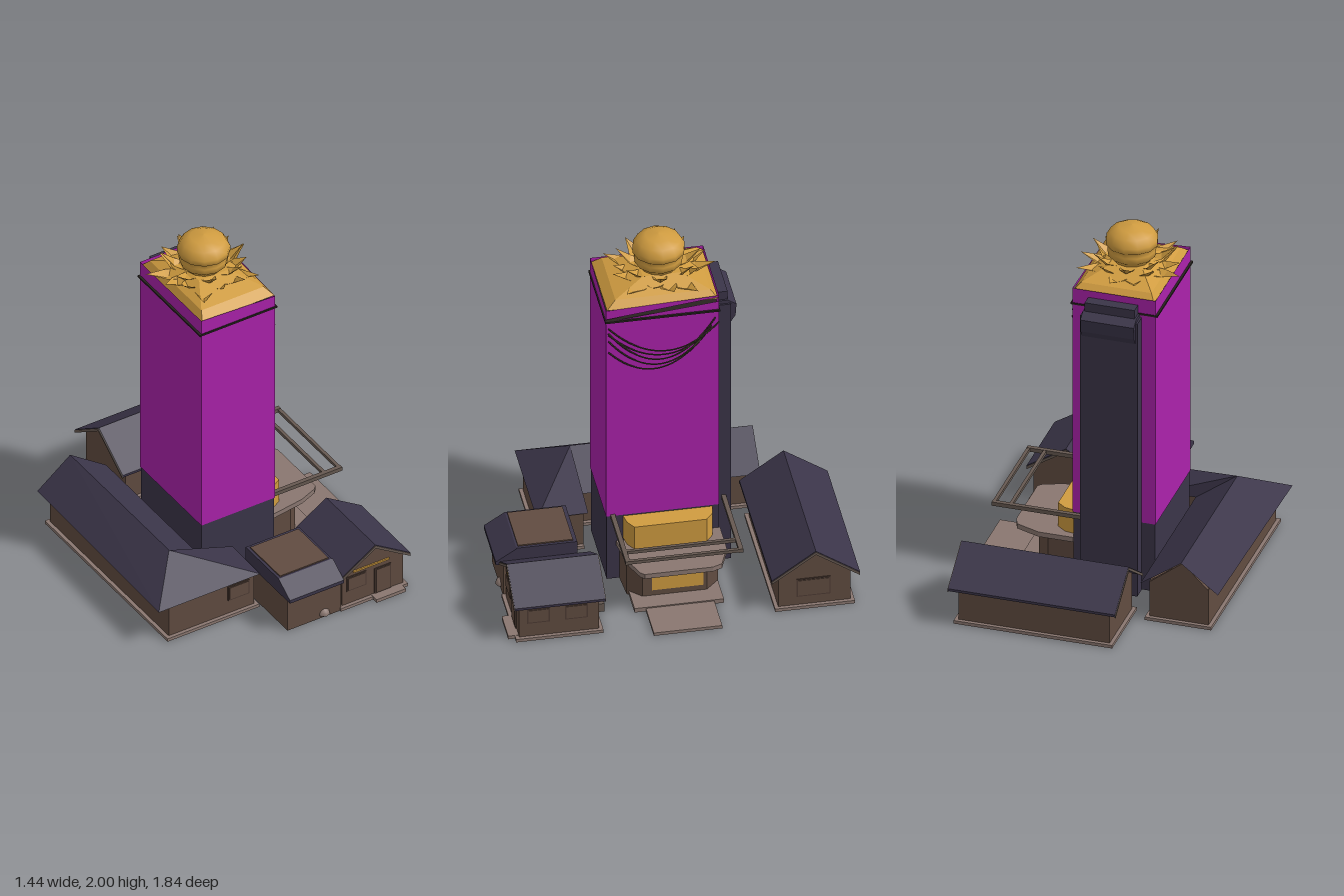
import * as THREE from 'three';

const mat = (name, color, double) => {
  const m = new THREE.MeshStandardMaterial({ color });
  m.name = name;
  if (double) m.side = THREE.DoubleSide;
  return m;
};

export function createModel() {
  const root = new THREE.Group();
  root.name = 'towerCompound';
  const M = {
    magenta: mat('magenta', 0xac22ac, true),
    navy: mat('navy roof', 0x3b3549, true),
    brown: mat('brown wall', 0x614c41),
    pane: mat('dark brown trim', 0x4c3b33),
    gold: mat('gold', 0xd09c40, true),
    taupe: mat('taupe stone', 0x8a7770),
    beam: mat('grey brown beam', 0x665951),
    dark: mat('near black', 0x28231f),
    vine: mat('olive garland', 0x3a3a26),
  };
  const add = (name, geo, m, parent = root) => {
    const mesh = new THREE.Mesh(geo, m);
    mesh.name = name;
    parent.add(mesh);
    return mesh;
  };
  // Box from its minimum and maximum corners
  const box = (name, m, x0, x1, y0, y1, z0, z1, parent) => {
    const b = add(name, new THREE.BoxGeometry(x1 - x0, y1 - y0, z1 - z0), m, parent);
    b.position.set((x0 + x1) / 2, (y0 + y1) / 2, (z0 + z1) / 2);
    return b;
  };
  // Flat-shaded polygons, each fanned from its first corner
  const faces = (polys) => {
    const p = [];
    for (const f of polys)
      for (let i = 1; i < f.length - 1; i++) p.push(...f[0], ...f[i], ...f[i + 1]);
    const g = new THREE.BufferGeometry();
    g.setAttribute('position', new THREE.Float32BufferAttribute(p, 3));
    g.computeVertexNormals();
    return g;
  };
  const extrude = (pts, depth) => new THREE.ExtrudeGeometry(
    new THREE.Shape(pts.map(([x, y]) => new THREE.Vector2(x, y))), { depth, bevelEnabled: false });
  // Plan outline given as x, z pairs, extruded upwards from y0 to y1
  const plan = (name, m, pts, y0, y1) => {
    const g = extrude(pts.map(([x, z]) => [x, -z]), y1 - y0);
    g.rotateX(-Math.PI / 2);
    add(name, g, m).position.y = y0;
  };

  // Tower: base, shaft, ledge and broken parapet
  const [X0, X1, Z0, Z1] = [-0.265, 0.185, -0.275, 0.32];
  box('towerBase', M.navy, X0 + 0.004, X1 - 0.004, 0, 0.4, Z0 + 0.004, Z1 - 0.004);
  box('towerShaft', M.magenta, X0, X1, 0.4, 1.64, Z0, Z1);
  box('towerLedge', M.dark, X0 - 0.012, X1 + 0.01, 1.635, 1.645, Z0 - 0.004, Z1 + 0.006);
  add('towerParapet', faces([
    [[X0, 1.64, Z1], [X1, 1.64, Z1], [X1, 1.71, Z1], [X0, 1.73, Z1]],
    [[X1, 1.64, Z0], [X0, 1.64, Z0], [X0, 1.73, Z0], [X1, 1.73, Z0]],
    [[X0, 1.64, Z0], [X0, 1.64, Z1], [X0, 1.73, Z1], [X0, 1.73, Z0]],
    [[X1, 1.655, Z1], [X1, 1.722, Z0], [X1, 1.732, Z0], [X1, 1.71, Z1]],
    [[X1, 1.64, Z1], [X1, 1.64, Z0], [X1, 1.695, Z0]],
  ]), M.magenta);

  // Rear lift shaft with a hooded cap
  box('liftShaft', M.navy, -0.19, 0.12, 0, 1.62, -0.35, Z0);
  box('liftShaftTop', M.navy, -0.17, 0.1, 1.6, 1.69, -0.335, Z0);
  add('liftHood', extrude([[0.27, 1.5], [0.35, 1.5], [0.375, 1.54], [0.38, 1.61], [0.335, 1.64], [0.27, 1.64]], 0.29)
    .rotateY(Math.PI / 2), M.navy).position.set(-0.18, 0, 0);

  // Garlands hung across the right side
  [[1.6, 1.57, 1.44], [1.57, 1.6, 1.39], [1.52, 1.55, 1.36], [1.45, 1.52, 1.335], [1.56, 1.49, 1.42]].forEach(([a, b, low], k) => {
    const pts = [];
    for (let i = 0; i <= 10; i++) {
      const t = i / 10, sag = 4 * t * (1 - t);
      pts.push(new THREE.Vector3(X1 + 0.006 + 0.025 * sag, a + (b - a) * t - sag * ((a + b) / 2 - low),
        Z1 - 0.01 - t * (0.585 - 0.02 * k)));
    }
    add('garland', new THREE.TubeGeometry(new THREE.CatmullRomCurve3(pts), 24, 0.0045, 4), M.vine);
  });

  // Golden crown: draped roof, petals and dome
  const crown = new THREE.Group();
  crown.name = 'crown';
  crown.position.set(-0.05, 0, 0);
  root.add(crown);
  const ring = (y, x0, x1, z0, z1) => [[x0, y, z1], [x1, y, z1], [x1, y, z0], [x0, y, z0]];
  const rings = [ring(1.712, -0.205, 0.235, -0.27, 0.315), ring(1.75, -0.18, 0.2, -0.235, 0.265), ring(1.8, -0.09, 0.09, -0.1, 0.1)];
  const skirt = [rings[2]];
  for (let r = 0; r < 2; r++)
    for (let i = 0; i < 4; i++) {
      const j = (i + 1) % 4;
      skirt.push([rings[r][i], rings[r][j], rings[r + 1][j], rings[r + 1][i]]);
    }
  add('crownSkirt', faces(skirt), M.gold, crown);
  const petal = (angle, r0, r1, y0, y1, half) => {
    const mid = (r0 + r1) / 2;
    const L = [r0, y0, half], R = [r0, y0, -half], T = [r1, y1, 0];
    const A = [mid, y0 + (y1 - y0) * 0.3, half * 0.9], B = [mid, y0 + (y1 - y0) * 0.3, -half * 0.9];
    const K = [mid, y0 + (y1 - y0) * 0.3 - 0.02, 0];
    add('petal', faces([[L, A, K], [L, K, R], [R, K, B], [A, T, K], [K, T, B]]), M.gold, crown).rotation.y = angle;
  };
  for (let i = 0; i < 14; i++) {
    const a = (i / 14) * Math.PI * 2 + 0.12;
    petal(a, 0.09, 0.27 + 0.04 * Math.sin(i * 2.3), 1.765, 1.81 + 0.03 * Math.sin(i * 4.1), 0.05);
    if (i % 2) petal(a + 0.2, 0.08, 0.225, 1.79, 1.87 + 0.015 * Math.sin(i * 1.7), 0.04);
  }
  const dome = [[0.09, 1.77], [0.1, 1.81], [0.125, 1.83], [0.13, 1.865], [0.118, 1.88], [0.138, 1.895], [0.138, 1.925], [0.115, 1.965], [0.07, 1.99], [0, 2]];
  add('crownDome', new THREE.LatheGeometry(dome.map(([x, y]) => new THREE.Vector2(x, y)), 12), M.gold, crown);

  // Entrance lobby on the right side, with canopy, path and pergola
  plan('lobbyWall', M.brown, [[0.18, -0.25], [0.33, -0.24], [0.4, -0.17], [0.4, 0.17], [0.33, 0.24], [0.18, 0.25]], 0, 0.22);
  box('lobbyWindow', M.gold, 0.4, 0.406, 0.06, 0.21, -0.15, 0.12);
  plan('canopy', M.taupe, [[0.18, -0.28], [0.37, -0.28], [0.5, -0.23], [0.52, -0.18], [0.52, 0.18], [0.5, 0.2], [0.4, 0.24], [0.2, 0.27]], 0.222, 0.25);
  plan('upperLobby', M.gold, [[0.18, -0.24], [0.24, -0.23], [0.29, -0.19], [0.29, 0.19], [0.24, 0.22], [0.18, 0.23]], 0.25, 0.39);
  box('pathApron', M.taupe, 0.3, 0.5, 0, 0.025, -0.24, 0.23);
  box('path', M.taupe, 0.48, 0.72, 0, 0.018, -0.19, 0.17);
  for (const [z, x] of [[-0.31, 0.11], [0.285, 0.185]]) box('pergolaRail', M.beam, x, 0.61, 0.388, 0.41, z - 0.012, z + 0.012);
  for (const x of [0.51, 0.6]) box('pergolaBeam', M.beam, x - 0.009, x + 0.009, 0.39, 0.408, -0.32, 0.295);

  // Gabled house, its ridge along local z
  const house = (name, x, z, w, l, eave, ridge, over, turn) => {
    const g = new THREE.Group();
    g.name = name;
    g.position.set(x, 0, z);
    g.rotation.y = turn;
    root.add(g);
    const h = w / 2, e = h + over, top = 0.014;
    add('walls', extrude([[-h, 0], [h, 0], [h, eave + 0.015], [0, ridge - 0.018], [-h, eave + 0.015]], l), M.brown, g).position.z = -l / 2;
    const L = l + 2 * over;
    add('roof', extrude([[-e, eave - top], [0, ridge - top], [e, eave - top], [e, eave], [0, ridge], [-e, eave]], L), M.navy, g).position.z = -L / 2;
    for (const s of [-1, 1])
      add('bargeboard', extrude([[-e, eave - 0.02], [0, ridge - 0.02], [e, eave - 0.02], [e, eave - 0.004], [0, ridge - 0.004], [-e, eave - 0.004]], 0.004), M.beam, g)
        .position.z = s * (L / 2 + 0.002) - 0.002;
    box('plinth', M.taupe, -h - 0.02, h + 0.02, 0, 0.018, -l / 2 - 0.02, l / 2 + 0.02, g);
    return g;
  };
  house('backHouse', 0.2, -0.695, 0.38, 0.82, 0.215, 0.375, 0.042, Math.PI / 2);
  house('frontHouse', 0.44, 0.65, 0.37, 0.42, 0.22, 0.355, 0.028, 0);

  // Doors, windows and steps of the front house and back house
  const front = (name, x0, x1, y0, y1, z) => {
    box(name + 'Frame', M.pane, x0, x1, y0, y1, z, z + 0.005);
    box(name, M.brown, x0 + 0.008, x1 - 0.008, y0 + 0.008, y1 - 0.008, z, z + 0.008);
  };
  const side = (name, z0, z1, y0, y1, x) => {
    box(name + 'Frame', M.pane, x, x + 0.005, y0, y1, z0, z1);
    box(name, M.brown, x, x + 0.008, y0 + 0.008, y1 - 0.008, z0 + 0.008, z1 - 0.008);
  };
  front('door', 0.45, 0.55, 0.02, 0.18, 0.86);
  front('window', 0.28, 0.4, 0.1, 0.19, 0.86);
  box('goldLintel', M.gold, 0.32, 0.54, 0.208, 0.218, 0.86, 0.868);
  side('window', 0.7, 0.82, 0.1, 0.19, 0.625);
  side('window', 0.5, 0.62, 0.1, 0.19, 0.625);
  side('backHouseWindow', -0.78, -0.6, 0.07, 0.18, 0.61);
  box('frontStep', M.taupe, 0.43, 0.61, 0, 0.02, 0.85, 0.915);
  box('rearStep', M.beam, 0.29, 0.46, 0, 0.05, 0.38, 0.44);

  // Flat-roofed annex with a sloping front
  box('annexWalls', M.brown, -0.085, 0.24, 0, 0.215, 0.5, 0.87);
  box('annexParapet', M.navy, -0.095, 0.23, 0.205, 0.295, 0.48, 0.8);
  box('annexRoof', M.brown, -0.08, 0.215, 0.295, 0.302, 0.5, 0.79);
  add('annexSlope', extrude([[-0.8, 0.295], [-0.91, 0.225], [-0.91, 0.205], [-0.8, 0.205]], 0.33)
    .rotateY(Math.PI / 2), M.navy).position.x = -0.095;
  add('annexBoulder', new THREE.SphereGeometry(0.035, 8, 5, 0, Math.PI * 2, 0, Math.PI / 2), M.taupe).position.set(0.14, 0.018, 0.86);

  // L-shaped wing with a hipped front end
  const wing = [[-0.64, -0.55], [-0.32, -0.55], [-0.32, 0.38], [-0.12, 0.38], [-0.12, 0.6], [-0.64, 0.6]];
  plan('wingWalls', M.brown, wing, 0, 0.225);
  plan('wingPlinth', M.taupe, wing.map(([x, z]) => [x + (x < -0.5 ? -0.02 : 0.02), z + (z < -0.5 ? -0.02 : z > 0.5 ? 0.02 : 0)]), 0, 0.018);
  add('wingGable', extrude([[-0.64, 0.22], [-0.32, 0.22], [-0.5, 0.36]], 0.02), M.brown).position.z = -0.55;
  const A = [-0.5, 0.375, -0.58], B = [-0.5, 0.375, 0.38], C = [-0.72, 0.22, 0.63], D = [-0.1, 0.22, 0.63];
  const E = [-0.1, 0.225, 0.36], F = [-0.28, 0.22, 0.36], G = [-0.28, 0.22, -0.58], H = [-0.7, 0.22, -0.58];
  add('wingRoof', faces([[A, H, C, B], [B, C, D], [B, D, E], [B, E, F], [A, B, F, G]]), M.navy);
  front('wingWindow', -0.28, -0.15, 0.1, 0.19, 0.6);
  return root;
}
